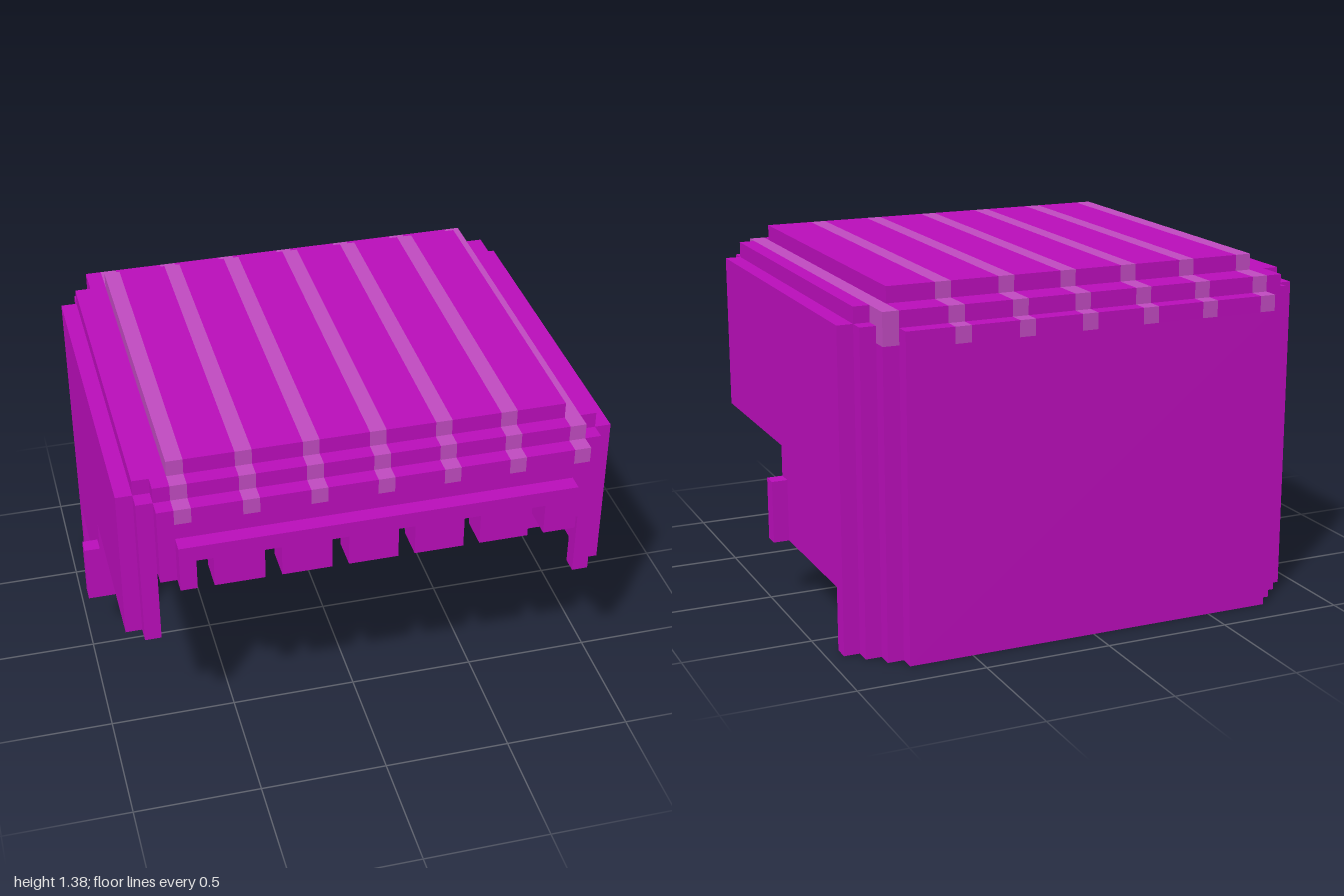
import * as THREE from 'three';

const U = 1 / 16; // one block

export function createModel() {
  const hair = new THREE.MeshStandardMaterial({ color: 0xb90db9 });
  hair.name = 'magenta';
  const streak = new THREE.MeshStandardMaterial({ color: 0xbf4abf });
  streak.name = 'pale magenta';

  const model = new THREE.Group();
  model.name = 'blockHair';

  const add = (name, geometry, material = hair) => {
    geometry.scale(U, U, U);
    const mesh = new THREE.Mesh(geometry, material);
    mesh.name = name;
    model.add(mesh);
  };

  // Box given by its limits in blocks
  const box = (name, [x0, x1], [y0, y1], [z0, z1], material = hair) => {
    const g = new THREE.BoxGeometry(x1 - x0, y1 - y0, z1 - z0);
    g.translate((x0 + x1) / 2, (y0 + y1) / 2, (z0 + z1) / 2);
    add(name, g, material);
  };

  // Row of boxes along x with a one-block streak every four blocks
  const striped = (name, [x0, x1], y, z) => {
    let x = x0;
    for (let s = -12; s <= 12; s += 4) {
      if (s < x0 || s >= x1) continue;
      if (s > x) box(name, [x, s], y, z);
      box(name + 'Streak', [s, s + 1], y, z, streak);
      x = s + 1;
    }
    if (x < x1) box(name, [x, x1], y, z);
  };

  const outline = (points) => new THREE.Shape(points.map(([x, y]) => new THREE.Vector2(x, y)));
  const extrude = (points) =>
    new THREE.ExtrudeGeometry(outline(points), { depth: 1, bevelEnabled: false });

  // Crown and the rim one step below it
  striped('crown', [-12, 12], [21, 22], [-11, 11]);
  striped('frontRim', [-13, 13], [20, 21], [11, 12]);
  striped('backRim', [-13, 13], [20, 21], [-13, -11]);
  box('leftRim', [13, 14], [20, 21], [-11, 11]);
  box('leftRimStreak', [12, 13], [20, 21], [-11, 11], streak);
  box('rightRim', [-14, -12], [20, 21], [-11, 11]);

  // Back panel
  box('backPanel', [-12, 12], [0, 19], [-14, -13]);
  striped('backPanelTop', [-12, 12], [19, 20], [-14, -13]);

  // Notched fringe in two layers
  const fringe = (name, half, top, z) => {
    const points = [[-half, 15]];
    for (let x = -11; x <= 9; x += 4) points.push([x, 15], [x, 17], [x + 1, 17], [x + 1, 15]);
    points.push([half, 15], [half, top], [-half, top]);
    add(name, extrude(points).translate(0, 0, z));
  };
  fringe('fringe', 12, 18, 13);
  fringe('forehead', 13, 19, 12);
  striped('foreheadTop', [-13, 13], [19, 20], [12, 13]);

  // Stepped side walls, corner posts and side locks
  const profile = [[-11, 0], [-10, 0], [-10, 4], [0, 4], [0, 10], [11, 10], [11, 20], [-11, 20]];
  for (const [side, s] of [['left', 1], ['right', -1]]) {
    const span = (a, b) => (s > 0 ? [a, b] : [-b, -a]);
    add(side + 'Wall', extrude(profile).rotateY(-Math.PI / 2).translate(s > 0 ? 15 : -14, 0, 0));
    box(side + 'FrontPost', span(13, 14), [10, 20], [11, 12]);
    box(side + 'BackPost', span(13, 14), [0, 20], [-12, -11]);
    box(side + 'InnerBackPost', span(12, 13), [0, 19], [-13, -12]);
    box(side + 'InnerBackPostTop', span(12, 13), [19, 20], [-13, -12], s > 0 ? streak : hair);
    box(side + 'Lock', span(15, 16), [4, 8], [-1, 0]);
  }

  return model;
}
